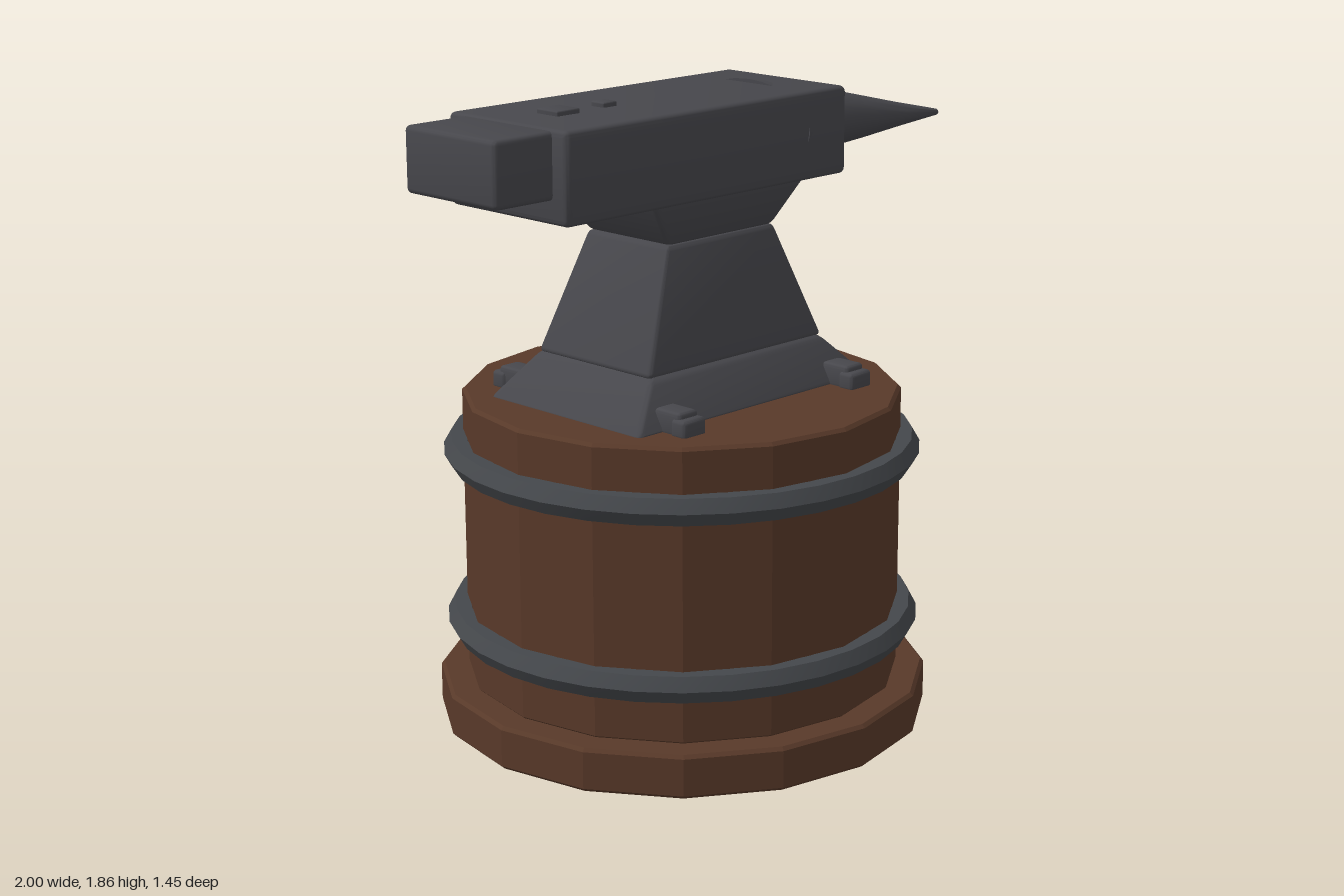
import * as THREE from 'three';
import { toCreasedNormals } from 'three/addons/utils/BufferGeometryUtils.js';
import { RoundedBoxGeometry } from 'three/addons/geometries/RoundedBoxGeometry.js';

const CX = -0.14; // axis of the stump and the anvil's foot

export function createModel() {
  const model = new THREE.Group();
  const wood = new THREE.MeshStandardMaterial({ color: 0x583929 });
  wood.name = 'brown wood';
  const iron = new THREE.MeshStandardMaterial({ color: 0x47474c });
  iron.name = 'dark iron';
  const bandIron = new THREE.MeshStandardMaterial({ color: 0x44474b });
  bandIron.name = 'band iron';

  const add = (name, geometry, material, x = 0, y = 0, z = 0, parent = model) => {
    const mesh = new THREE.Mesh(geometry, material);
    mesh.name = name;
    mesh.position.set(x, y, z);
    parent.add(mesh);
    return mesh;
  };

  // Bevelled box between two heights, tapered from a bottom to a top size
  const block = (name, x, y0, y1, bottom, top = bottom, bevel = 0.015, z = 0, parent = model) => {
    const h = y1 - y0;
    const g = new RoundedBoxGeometry(bottom[0], h, bottom[1], 2, bevel);
    const p = g.attributes.position;
    for (let i = 0; i < p.count; i++) {
      const t = p.getY(i) / h + 0.5;
      p.setX(i, p.getX(i) * THREE.MathUtils.lerp(1, top[0] / bottom[0], t));
      p.setZ(i, p.getZ(i) * THREE.MathUtils.lerp(1, top[1] / bottom[1], t));
    }
    return add(name, toCreasedNormals(g, 0.6), iron, x, (y0 + y1) / 2, z, parent);
  };

  // Sixteen-sided wooden drum with small bevels
  const drum = (name, r, y0, y1) => {
    const b = 0.01;
    const profile = [[0, y0], [r - b, y0], [r, y0 + b], [r, y1 - b], [r - b, y1], [0, y1]];
    const g = new THREE.LatheGeometry(profile.map(([px, py]) => new THREE.Vector2(px, py)), 16).toNonIndexed();
    g.computeVertexNormals();
    add(name, g, wood, CX);
  };
  drum('stumpBase', 0.727, 0, 0.13);
  drum('stump', 0.643, 0.125, 0.988);

  // Hexagonal-section iron bands
  for (const [name, y] of [['lowerBand', 0.305], ['upperBand', 0.818]]) {
    const g = new THREE.TorusGeometry(0.655, 0.045, 6, 32).rotateX(Math.PI / 2);
    add(name, toCreasedNormals(g, 0.5), bandIron, CX, y);
  }

  // Anvil, from the foot up
  block('foot', CX, 0.98, 1.12, [0.965, 0.63], [0.69, 0.46], 0.02);
  block('waist', CX, 1.115, 1.462, [0.715, 0.46], [0.43, 0.325]);
  block('neck', CX, 1.46, 1.595, [0.42, 0.325], [0.62, 0.415]);
  block('body', -0.248, 1.588, 1.846, [1.106, 0.476], undefined, 0.018);
  block('heel', -0.89, 1.655, 1.84, [0.22, 0.366], undefined, 0.015);
  block('squareHolePlug', -0.61, 1.83, 1.86, [0.085, 0.085], undefined, 0.005);
  block('smallHolePlug', -0.44, 1.83, 1.86, [0.052, 0.052], undefined, 0.005);

  // Horn: elliptical sections [x, centre y, half height, half width]
  const sections = [
    [0.14, 1.725, 0.132, 0.243], [0.305, 1.72, 0.11, 0.19], [0.45, 1.709, 0.089, 0.146],
    [0.6, 1.694, 0.068, 0.104], [0.8, 1.676, 0.038, 0.054], [1.0, 1.659, 0.01, 0.012],
  ];
  const last = sections.length - 1;
  const horn = new THREE.CylinderGeometry(1, 1, 1, 28, last).rotateZ(-Math.PI / 2);
  const hp = horn.attributes.position;
  for (let i = 0; i < hp.count; i++) {
    const [x, cy, ry, rz] = sections[Math.round((hp.getX(i) + 0.5) * last)];
    hp.setXYZ(i, x, cy + ry * hp.getY(i), rz * hp.getZ(i));
  }
  add('horn', toCreasedNormals(horn, 0.7), iron);

  // Four cleats holding the foot, each with a lower head at its outer end
  for (const x of [-0.485, 0.205]) {
    for (const s of [-1, 1]) {
      const cleat = new THREE.Group();
      cleat.name = 'footCleat';
      model.add(cleat);
      block('cleatBar', x, 0.98, 1.052, [0.075, 0.1], undefined, 0.012, s * 0.322, cleat);
      block('cleatHead', x, 0.98, 1.035, [0.088, 0.055], undefined, 0.012, s * 0.37, cleat);
    }
  }
  return model;
}
